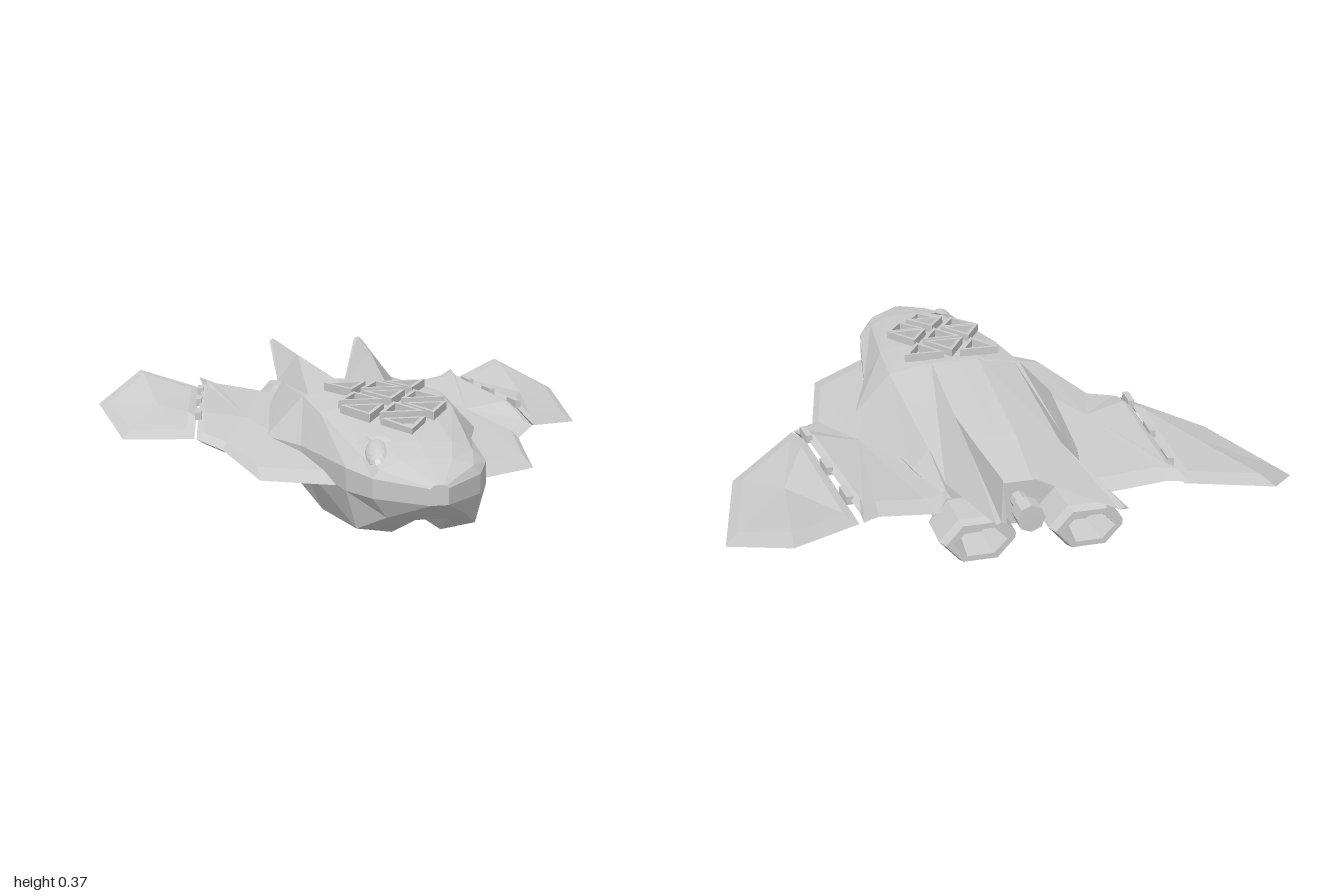
import * as THREE from 'three';

const material = new THREE.MeshStandardMaterial({ color: 0xcccccc, flatShading: true });

function addMesh(parent, name, geometry) {
  const mesh = new THREE.Mesh(geometry, material);
  mesh.name = name;
  parent.add(mesh);
  return mesh;
}

// Skin closed rings of [x, y, z] points; side = -1 mirrors the part across x.
function loft(rings, side = 1, caps = true) {
  const rs = rings.map((ring) => {
    const r = ring.map(([x, y, z]) => [x * side, y, z]);
    return side < 0 ? r.reverse() : r;
  });
  const out = [];
  const n = rs[0].length;
  for (let i = 0; i + 1 < rs.length; i++) {
    for (let j = 0; j < n; j++) {
      const k = (j + 1) % n;
      const [a, b, c, d] = [rs[i][j], rs[i][k], rs[i + 1][k], rs[i + 1][j]];
      out.push(...a, ...b, ...c, ...a, ...c, ...d);
    }
  }
  const cap = (ring, flip) => {
    const mid = centre(ring);
    ring.forEach((p, j) => {
      const q = ring[(j + 1) % n];
      out.push(...mid, ...(flip ? q : p), ...(flip ? p : q));
    });
  };
  if (caps) {
    cap(rs[0], true);
    cap(rs[rs.length - 1], false);
  }
  const g = new THREE.BufferGeometry();
  g.setAttribute('position', new THREE.Float32BufferAttribute(out, 3));
  g.computeVertexNormals();
  return g;
}

function centre(ring) {
  return [0, 1, 2].map((k) => ring.reduce((s, p) => s + p[k], 0) / ring.length);
}

// Thin plate with a sharp rim and bevelled faces; outline of [x, y, z].
function plate(outline, inset, up, down, side) {
  const m = centre(outline);
  const shrink = (dy) => outline.map(([x, y, z]) =>
    [x + (m[0] - x) * inset, y + (m[1] - y) * inset + dy, z + (m[2] - z) * inset]);
  return loft([shrink(-down), outline, shrink(up)], side);
}

// Half sections run from the top centre, around the left flank, to the bottom centre.
const hullSections = [
  [1, [[0, .245], [.01, .245], [.018, .242], [.025, .235], [.025, .19], [.02, .19], [.015, .19], [.01, .19], [0, .19]]],
  [.86, [[0, .285], [.07, .28], [.13, .26], [.15, .235], [.15, .18], [.11, .125], [.06, .115], [.03, .115], [0, .115]]],
  [.74, [[0, .308], [.1, .302], [.16, .275], [.2, .24], [.2, .175], [.17, .065], [.07, .05], [.04, .08], [0, .085]]],
  [.35, [[0, .345], [.12, .342], [.205, .318], [.265, .22], [.265, .17], [.2, .02], [.07, .005], [.035, .04], [0, .04]]],
  [.12, [[0, .355], [.1, .353], [.222, .33], [.34, .205], [.33, .175], [.2, .06], [.08, .045], [.04, .06], [0, .06]]],
  [-.37, [[0, .295], [.07, .295], [.21, .28], [.262, .22], [.25, .17], [.18, .1], [.08, .085], [.04, .095], [0, .095]]],
  [-.6, [[0, .255], [.04, .255], [.19, .255], [.2, .21], [.19, .17], [.15, .13], [.08, .115], [.04, .12], [0, .12]]],
];

function hullRing([z, half]) {
  const right = half.slice(1, -1).reverse().map(([x, y]) => [-x, y, z]);
  return [...half.map(([x, y]) => [x, y, z]), ...right];
}

// Flattened hexagon with points to left and right.
function hexRing(cx, cy, w, h, z) {
  return [[-.5, 1], [.5, 1], [1, 0], [.5, -1], [-.5, -1], [-1, 0]]
    .map(([x, y]) => [cx + x * w, cy + y * h, z]);
}

function triangleFrame(r) {
  const ring = (s) => [0, 1, 2].map((i) => {
    const a = Math.PI / 2 + (i * 2 * Math.PI) / 3;
    return new THREE.Vector2(Math.cos(a) * s, Math.sin(a) * s);
  });
  const shape = new THREE.Shape(ring(r));
  shape.holes.push(new THREE.Path(ring(r * .7)));
  return new THREE.ExtrudeGeometry(shape, { depth: .025, bevelEnabled: false }).rotateX(-Math.PI / 2);
}

export function createModel() {
  const model = new THREE.Group();
  model.name = 'spacecraft';

  addMesh(model, 'hull', loft(hullSections.map(hullRing)));

  const innerWing = [[.15, .18, .68], [.22, .172, .66], [.41, .16, .52], [.48, .17, .15], [.555, .19, .06],
    [.535, .235, -.1], [.476, .245, -.66], [.48, .255, -.73], [.43, .24, -.68], [.26, .21, -.65], [.15, .2, -.6]];
  const outerWing = [[.562, .19, .055], [.78, .15, -.17], [.85, .185, -.64], [.69, .27, -.85],
    [.484, .225, -.68], [.542, .23, -.1]];

  for (const side of [1, -1]) {
    const label = side > 0 ? 'left' : 'right';

    // Wings, split by a seam with small hinge blocks
    addMesh(model, `${label}InnerWing`, plate(innerWing, .14, .014, .022, side));
    addMesh(model, `${label}OuterWing`, plate(outerWing, .2, .012, .02, side));
    for (const [x, z] of [[.536, -.09], [.514, -.33], [.492, -.53]]) {
      const hinge = addMesh(model, `${label}WingHinge`, new THREE.BoxGeometry(.02, .025, .075));
      hinge.position.set(side * x, .242, z);
      hinge.rotation.y = side * .11;
    }

    // Long dorsal spike, triangular in section
    addMesh(model, `${label}DorsalSpike`, loft([
      [[.08, .354, .12], [.205, .332, .12], [.075, .3, .12]],
      [[.135, .353, -.57], [.21, .262, -.57], [.04, .255, -.58]],
      [[.17, .353, -1], [.182, .345, -1], [.155, .345, -1]],
    ], side));

    // Hollow engine nozzle
    addMesh(model, `${label}Engine`, loft([
      hexRing(.155, .175, .085, .05, -.42),
      hexRing(.16, .172, .095, .052, -.59),
      hexRing(.16, .17, .112, .063, -.62),
      hexRing(.16, .17, .112, .063, -.74),
      hexRing(.16, .17, .1, .056, -.77),
      hexRing(.16, .17, .078, .04, -.77),
      hexRing(.16, .17, .06, .03, -.66),
    ], side));
  }

  // Small centre thruster between the engines
  const thruster = addMesh(model, 'centreThruster', new THREE.CylinderGeometry(.026, .026, .2, 8).rotateX(Math.PI / 2));
  thruster.position.set(0, .2, -.62);
  const collar = addMesh(model, 'centreThrusterCollar', new THREE.CylinderGeometry(.042, .042, .06, 8).rotateX(Math.PI / 2));
  collar.position.set(0, .2, -.7);

  // Raised triangular frames on the upper deck: [x, z, y, tilt, direction]
  const rows = [[.215, .35, .03, 1], [.355, .343, .04, -1], [.495, .33, .08, 1]];
  const frames = [[0, .625, .312, .1, 1]];
  for (const [z, y, tilt, dir] of rows) {
    frames.push([-.095, z, y, tilt, dir], [0, z, y + .002, tilt, -dir], [.095, z, y, tilt, dir]);
  }
  for (const [x, z, y, tilt, dir] of frames) {
    const frame = addMesh(model, 'deckTriangle', triangleFrame(.077));
    frame.position.set(x, y, z - dir * .019);
    frame.rotation.set(tilt, dir > 0 ? Math.PI : 0, 0, 'XYZ');
  }

  // Sensor pod on the right of the nose, with a hood behind it
  const pod = addMesh(model, 'nosePod', new THREE.SphereGeometry(1, 14, 10));
  pod.scale.set(.035, .03, .085);
  pod.position.set(-.115, .275, .755);
  pod.rotation.set(.2, -.12, .4);
  addMesh(model, 'nosePodHood', loft([
    [[-.105, .3, .73], [-.06, .3, .74], [-.115, .28, .73]],
    [[-.13, .312, .67], [-.08, .315, .7], [-.175, .275, .65]],
  ]));

  return model;
}
